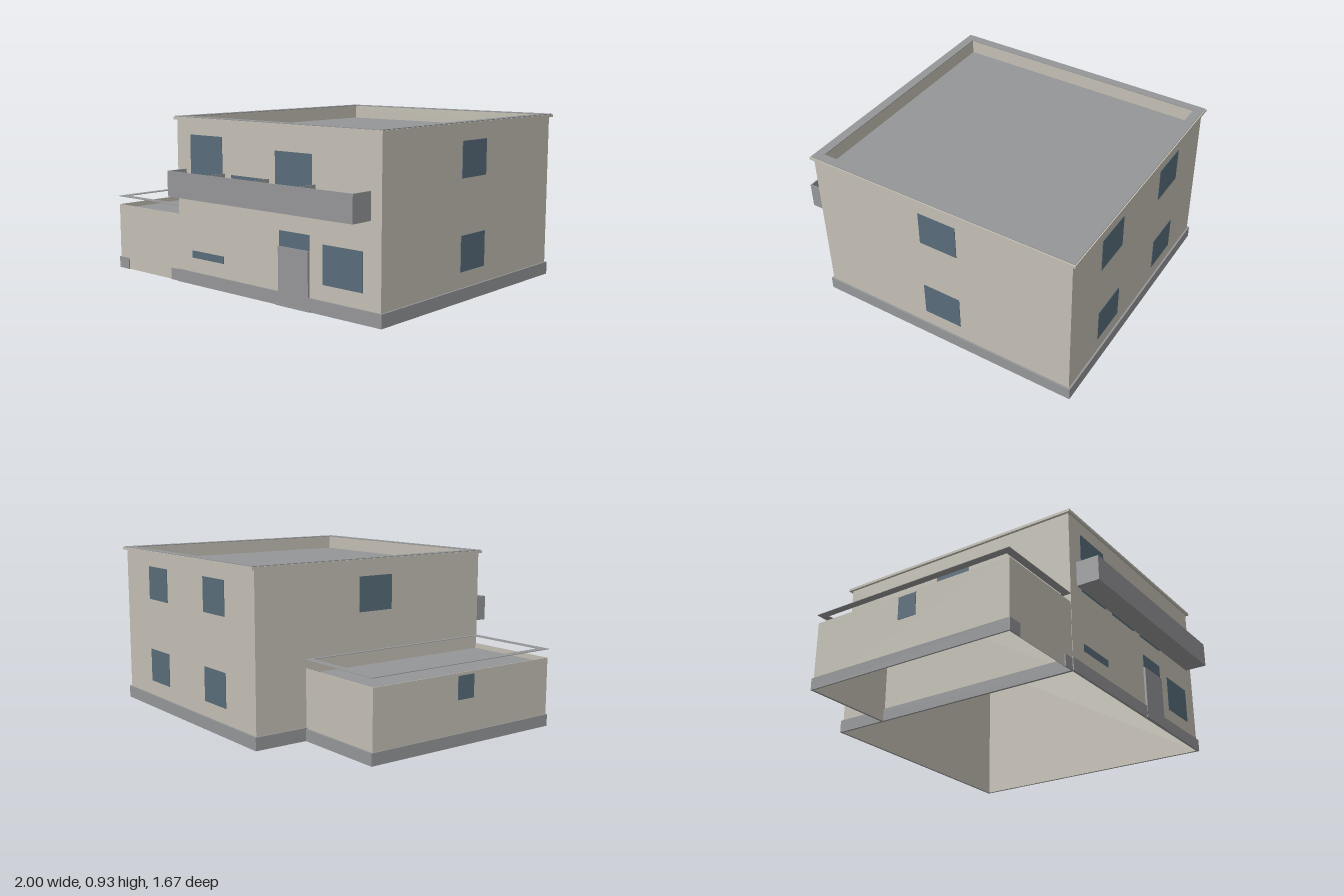
import * as THREE from 'three';

const material = (name, color) => {
  const m = new THREE.MeshStandardMaterial({ color, side: THREE.DoubleSide });
  m.name = name;
  return m;
};

export function createModel() {
  const house = new THREE.Group();
  house.name = 'house';
  const render = material('beigeRender', 0xc3bfb4);
  const grey = material('greyConcrete', 0x959698);
  const glass = material('blueGlass', 0x586c7a);

  const add = (name, geometry, mat) => {
    const mesh = new THREE.Mesh(geometry, mat);
    mesh.name = name;
    house.add(mesh);
  };

  // Box given by its limits on each axis
  const box = (name, mat, x0, x1, y0, y1, z0, z1) => {
    const g = new THREE.BoxGeometry(x1 - x0, y1 - y0, z1 - z0);
    g.translate((x0 + x1) / 2, (y0 + y1) / 2, (z0 + z1) / 2);
    add(name, g, mat);
  };

  // Rectangular ring of width t, inward from the given outline
  const frame = (name, mat, x0, x1, z0, z1, y0, y1, t) => {
    const rect = (C, i) => new C([
      new THREE.Vector2(x0 + i, -z1 + i), new THREE.Vector2(x1 - i, -z1 + i),
      new THREE.Vector2(x1 - i, -z0 - i), new THREE.Vector2(x0 + i, -z0 - i),
    ]);
    const shape = rect(THREE.Shape, 0);
    shape.holes.push(rect(THREE.Path, t));
    const g = new THREE.ExtrudeGeometry(shape, { depth: y1 - y0, bevelEnabled: false });
    g.rotateX(-Math.PI / 2);
    g.translate(0, y0, 0);
    add(name, g, mat);
  };

  // Main block: thin shell, sunken roof, parapet, coping and plinth
  frame('mainWalls', render, -0.45, 0.98, -0.815, 0.705, 0, 0.91, 0.004);
  box('mainRoof', grey, -0.447, 0.977, 0.84, 0.845, -0.812, 0.702);
  frame('parapet', render, -0.446, 0.976, -0.811, 0.701, 0.845, 0.91, 0.036);
  frame('copingFascia', render, -0.465, 0.995, -0.835, 0.72, 0.907, 0.922, 0.055);
  frame('copingTop', grey, -0.459, 0.989, -0.829, 0.714, 0.922, 0.926, 0.049);
  frame('mainPlinth', grey, -0.46, 0.99, -0.825, 0.715, 0, 0.07, 0.012);

  // Garage: three walls, flat roof and a raised roof rim
  box('garageFront', render, -0.994, -0.45, 0, 0.38, 0.699, 0.703);
  box('garageSide', render, -0.994, -0.99, 0, 0.38, -0.51, 0.703);
  box('garageBack', render, -0.994, -0.45, 0, 0.38, -0.51, -0.506);
  box('garageRoof', grey, -0.991, -0.45, 0.347, 0.352, -0.507, 0.7);
  frame('garageRim', grey, -1, -0.43, -0.52, 0.705, 0.427, 0.43, 0.042);
  box('garagePlinthSide', grey, -1, -0.993, 0, 0.065, -0.52, 0.709);
  box('garagePlinthBack', grey, -1, -0.455, 0, 0.065, -0.52, -0.509);
  for (const [a, b] of [[-1, -0.915], [-0.525, -0.455]])
    box('garagePlinthFront', grey, a, b, 0, 0.065, 0.702, 0.709);

  // Front glazing: x0, x1, y0, y1
  for (const [x0, x1, y0, y1] of [
    [-0.34, -0.09, 0.49, 0.83], [-0.02, 0.23, 0.49, 0.635], [0.3, 0.55, 0.49, 0.785],
    [-0.34, -0.09, 0.15, 0.19], [0.62, 0.87, 0.15, 0.35], [0.325, 0.53, 0.305, 0.385],
  ]) box('frontWindow', glass, x0, x1, y0, y1, 0.704, 0.708);

  // Side and back windows on both floors
  for (const [y0, y1] of [[0.155, 0.345], [0.64, 0.83]]) {
    box('leftWindow', glass, 0.979, 0.983, y0, y1, -0.165, 0.055);
    for (const x of [-0.16, 0.47])
      box('backWindow', glass, x, x + 0.22, y0, y1, -0.818, -0.814);
  }
  box('rightWindow', glass, -0.453, -0.449, 0.64, 0.83, -0.165, 0.055);
  box('garageWindow', glass, -0.997, -0.993, 0.24, 0.365, 0.04, 0.15);

  // Front door and step
  box('frontDoor', grey, 0.325, 0.53, 0.01, 0.305, 0.704, 0.717);
  box('doorStep', grey, 0.31, 0.545, 0, 0.01, 0.704, 0.722);

  // Balcony with solid front, ends and partitions
  box('balconyFloor', grey, -0.385, 0.915, 0.5, 0.506, 0.705, 0.835);
  box('balconyFront', grey, -0.385, 0.915, 0.5, 0.64, 0.829, 0.835);
  for (const x of [-0.385, 0.909])
    box('balconyEnd', grey, x, x + 0.006, 0.5, 0.64, 0.705, 0.83);
  for (const x of [-0.075, 0.25, 0.565])
    box('balconyPartition', grey, x, x + 0.005, 0.505, 0.638, 0.705, 0.83);

  return house;
}
